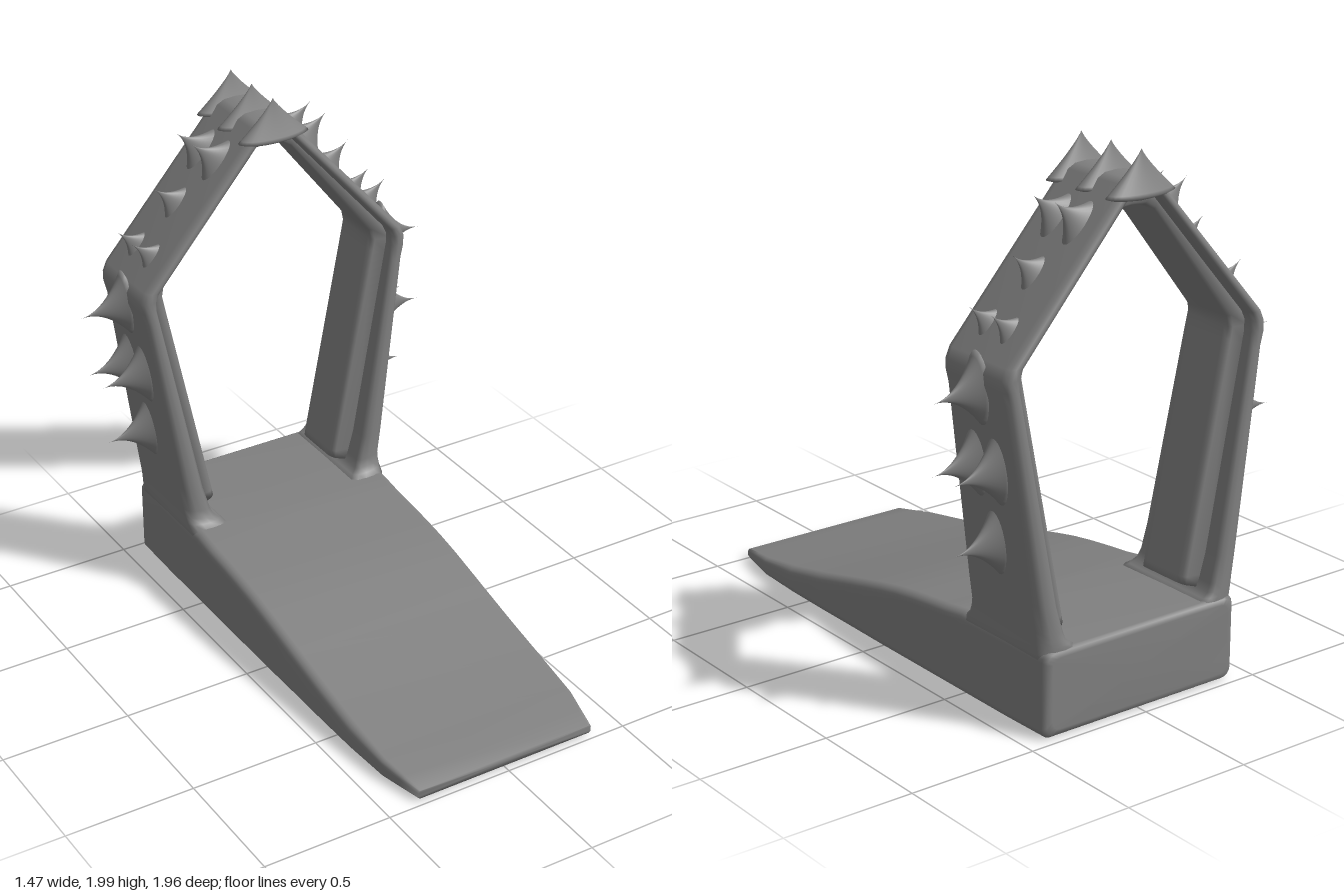
import * as THREE from 'three';

const material = new THREE.MeshStandardMaterial({ color: 0x808080 });

// Skin a list of equal-length rings and close both ends, with smooth normals.
function loft(rings) {
  const n = rings[0].length, pos = [], idx = [];
  rings.forEach(r => r.forEach(p => pos.push(...p)));
  for (let i = 0; i < rings.length - 1; i++) {
    for (let j = 0; j < n; j++) {
      const a = i * n + j, b = i * n + (j + 1) % n;
      idx.push(a, b, a + n, b, b + n, a + n);
    }
  }
  [0, rings.length - 1].forEach((k, end) => {
    const c = pos.length / 3;
    pos.push(...[0, 1, 2].map(m => rings[k].reduce((s, p) => s + p[m], 0) / n));
    for (let j = 0; j < n; j++) {
      const a = k * n + j, b = k * n + (j + 1) % n;
      idx.push(c, ...(end ? [a, b] : [b, a]));
    }
  });
  const g = new THREE.BufferGeometry();
  g.setAttribute('position', new THREE.Float32BufferAttribute(pos, 3));
  g.setIndex(idx);
  g.computeVertexNormals();
  return g;
}

function add(parent, name, geometry) {
  const mesh = new THREE.Mesh(geometry, material);
  mesh.name = name;
  parent.add(mesh);
  return mesh;
}

// Rounded rectangle ring in the xy plane at depth z.
function baseRing([z, w, y0, y1]) {
  const r = Math.min(0.035, (y1 - y0) * 0.3), ring = [];
  [[w - r, y0 + r], [w - r, y1 - r], [r - w, y1 - r], [r - w, y0 + r]].forEach(([cx, cy], q) => {
    for (let k = 0; k <= 4; k++) {
      const a = (q - 1 + k / 4) * Math.PI / 2;
      ring.push([cx + r * Math.cos(a), cy + r * Math.sin(a), z]);
    }
  });
  return ring;
}

// Mirror a right-hand path (foot to apex) into a full arch.
function arch(half) {
  const left = half.slice(0, -1).reverse().map(([ox, oy, ix, iy, ...z]) => [-ox, oy, -ix, iy, ...z]);
  return [...half, ...left];
}

// Sweep a section of [t, z] points, t running from the outer edge (0) to the inner edge (1).
function archRings(half, section) {
  return arch(half).map(([ox, oy, ix, iy, zf, zb]) => section(zf, zb).map(([t, z]) =>
    [ox + (ix - ox) * t, oy + (iy - oy) * t, z]));
}

// Spike: flared profile, tucked to a point below the surface.
function spikeGeometry(power) {
  const pts = [new THREE.Vector2(0, -0.16), new THREE.Vector2(0.8, -0.06)];
  for (let i = 0; i <= 14; i++) {
    pts.push(new THREE.Vector2(Math.pow(1 - i / 14, power), i / 14));
  }
  return new THREE.LatheGeometry(pts, 28);
}

export function createModel() {
  const model = new THREE.Group();
  model.name = 'wedgeWithSpikedArch';

  // Wedge: z, half width, bottom, top
  add(model, 'wedgeBase', loft([
    [-0.975, 0.395, 0.04, 0.305], [-0.97, 0.415, 0.02, 0.322], [-0.955, 0.428, 0.01, 0.33],
    [-0.75, 0.43, 0.008, 0.33], [-0.5, 0.43, 0.008, 0.328], [-0.4, 0.43, 0.008, 0.312],
    [-0.3, 0.43, 0.008, 0.302], [-0.2, 0.43, 0.008, 0.29], [-0.1, 0.43, 0.008, 0.275],
    [0, 0.43, 0.008, 0.255], [0.1, 0.429, 0.008, 0.232], [0.2, 0.428, 0.008, 0.208],
    [0.4, 0.427, 0.008, 0.16], [0.6, 0.424, 0.01, 0.118], [0.8, 0.41, 0.013, 0.085],
    [0.89, 0.39, 0.016, 0.07], [0.98, 0.37, 0.02, 0.055],
  ].map(baseRing)));

  // Arch: outer x, y, inner x, y, front z, back z
  const frame = [
    [0.424, 0.27, 0.27, 0.27, -0.49, -0.968], [0.43, 0.318, 0.275, 0.322, -0.5, -0.968],
    [0.432, 0.345, 0.3, 0.338, -0.528, -0.967], [0.434, 0.37, 0.32, 0.355, -0.541, -0.966],
    [0.437, 0.4, 0.332, 0.385, -0.55, -0.965],
    [0.452, 0.5, 0.358, 0.48, -0.554, -0.962], [0.552, 1.22, 0.498, 1.22, -0.58, -0.943],
    [0.566, 1.27, 0.508, 1.275, -0.582, -0.942], [0.567, 1.31, 0.507, 1.315, -0.583, -0.941],
    [0.55, 1.35, 0.492, 1.348, -0.583, -0.94], [0.075, 1.885, 0.07, 1.835, -0.585, -0.94],
    [0.045, 1.901, 0.04, 1.85, -0.585, -0.94], [0, 1.905, 0, 1.853, -0.585, -0.94],
  ];
  add(model, 'archFrame', loft(archRings(frame, (f, b) => [
    [1, f - 0.02], [0.85, f - 0.004], [0.6, f], [0.35, f - 0.002], [0.12, f - 0.012], [0, f - 0.035],
    [0, b + 0.035], [0.12, b + 0.012], [0.35, b + 0.002], [0.6, b], [0.85, b + 0.004], [1, b + 0.02],
  ])));

  // Raised rail lining the inside of the arch
  const rail = [
    [0.345, 0.35, 0.264, 0.375], [0.352, 0.4, 0.268, 0.4], [0.51, 1.22, 0.442, 1.25],
    [0.52, 1.29, 0.45, 1.29], [0.505, 1.35, 0.442, 1.33], [0.09, 1.83, 0.105, 1.765],
    [0.05, 1.86, 0.065, 1.788], [0, 1.865, 0, 1.793],
  ].map(p => [...p, -0.635, -0.89]);
  add(model, 'innerRail', loft(archRings(rail, (f, b) => [
    [1, f - 0.045], [0.95, f - 0.025], [0.8, f - 0.012], [0, f],
    [0, b], [0.8, b + 0.012], [0.95, b + 0.025], [1, b + 0.045],
  ])));

  // Spikes: base centre, direction, length, radius along the bar, radius across it
  const spikes = new THREE.Group();
  spikes.name = 'spikes';
  model.add(spikes);
  const sharp = spikeGeometry(2.1), bell = spikeGeometry(1.2);
  function spike(name, geometry, [x, y, z], [nx, ny], length, along, across) {
    const mesh = add(spikes, name, geometry);
    mesh.position.set(x, y, z);
    mesh.rotation.z = Math.atan2(-nx, ny);
    mesh.scale.set(along, length, across);
  }
  const mid = [-0.765], pair = [-0.705, -0.82];
  for (const s of [1, -1]) {
    for (const [x, y, tip, zs] of [[0.549, 1.247, 0.737, mid], [0.508, 0.968, 0.697, pair], [0.467, 0.69, 0.657, mid]]) {
      zs.forEach(z => spike('sideSpike', sharp, [s * x, y, z], [s, -0.1], tip - x, 0.135, 0.06));
    }
    for (const [x, y, zs] of [[0.437, 1.414, pair], [0.307, 1.58, mid], [0.178, 1.75, pair]]) {
      zs.forEach(z => spike('roofSpike', sharp, [s * x, y, z], [s * 0.75, 0.66], 0.145, 0.105, 0.045));
    }
  }
  for (const z of [-0.605, -0.76, -0.915]) {
    spike('apexSpike', bell, [0, 1.848, z], [0, 1], 0.152, 0.145, 0.05);
  }
  return model;
}
